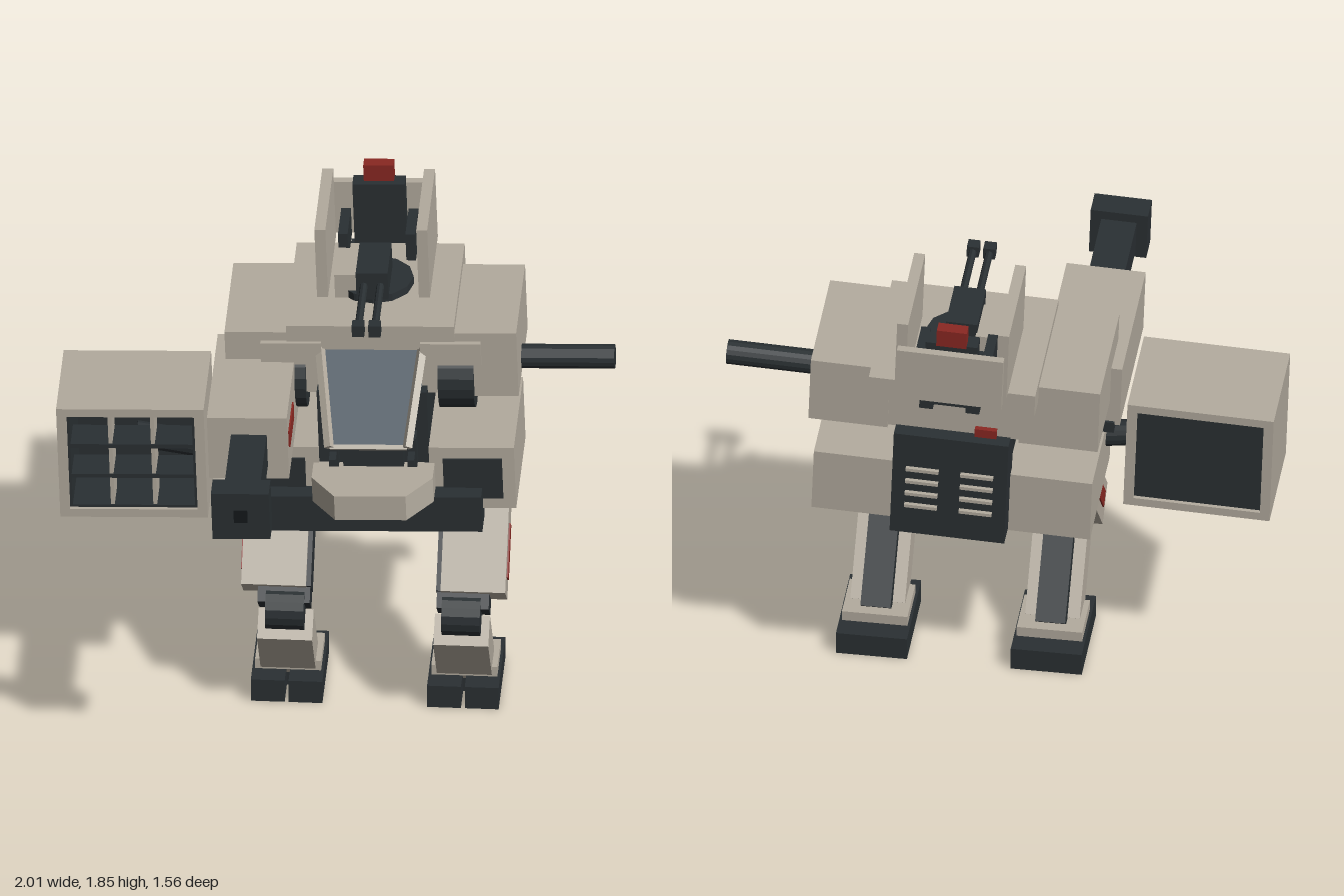
import * as THREE from 'three';
import { ConvexGeometry } from 'three/addons/geometries/ConvexGeometry.js';

const paint = (color) => new THREE.MeshStandardMaterial({ color, flatShading: true });
const LIGHT = paint(0xb3ab9e), DARK = paint(0x2a3033), RED = paint(0x8a2822), GLASS = paint(0x394955);

function add(parent, name, geometry, material) {
  const mesh = new THREE.Mesh(geometry, material);
  mesh.name = name;
  parent.add(mesh);
  return mesh;
}

// Box from its extents along x, y and z; side = -1 mirrors it in x
function box(parent, name, material, [x0, x1], [y0, y1], [z0, z1], side = 1) {
  const m = add(parent, name, new THREE.BoxGeometry(x1 - x0, y1 - y0, z1 - z0), material);
  m.position.set(side * (x0 + x1) / 2, (y0 + y1) / 2, (z0 + z1) / 2);
  return m;
}

// Cylinder or square beam between two points
function rod(parent, name, material, a, b, radius, sides = 16) {
  const p = new THREE.Vector3(...a), q = new THREE.Vector3(...b);
  const m = add(parent, name, new THREE.CylinderGeometry(radius, radius, p.distanceTo(q), sides), material);
  m.position.copy(p).add(q).multiplyScalar(0.5);
  m.quaternion.setFromUnitVectors(new THREE.Vector3(0, 1, 0), q.sub(p).normalize());
  return m;
}

// Box pitched about the x axis
function pitched(parent, name, material, [x, y, z], [w, h, d], angle) {
  const m = add(parent, name, new THREE.BoxGeometry(w, h, d), material);
  m.position.set(x, y, z);
  m.rotation.x = angle;
  return m;
}

function buildLeg(s) {
  const leg = new THREE.Group();
  leg.name = s > 0 ? 'leftLeg' : 'rightLeg';
  // Foot with two toes
  box(leg, 'heel', DARK, [0.19, 0.45], [0, 0.09], [-0.335, -0.1], s);
  box(leg, 'innerToe', DARK, [0.19, 0.313], [0, 0.09], [-0.1, 0.02], s);
  box(leg, 'outerToe', DARK, [0.327, 0.45], [0, 0.09], [-0.1, 0.02], s);
  box(leg, 'ankle', LIGHT, [0.2, 0.44], [0.09, 0.13], [-0.255, -0.06], s);
  // Shin
  pitched(leg, 'shinArmour', LIGHT, [s * 0.32, 0.235, -0.025], [0.2, 0.35, 0.12], 0.68);
  pitched(leg, 'shinStrut', DARK, [s * 0.32, 0.27, -0.1], [0.11, 0.36, 0.06], 0.7);
  // Knee and hip joints
  rod(leg, 'knee', DARK, [s * 0.25, 0.435, 0.075], [s * 0.39, 0.435, 0.075], 0.08, 16);
  rod(leg, 'hipJoint', DARK, [s * 0.22, 0.765, -0.2], [s * 0.42, 0.765, -0.2], 0.085, 8);
  // Thigh
  pitched(leg, 'thighCore', DARK, [s * 0.325, 0.6, -0.07], [0.19, 0.42, 0.13], -0.7);
  pitched(leg, 'thighArmour', LIGHT, [s * 0.362, 0.635, -0.07], [0.235, 0.36, 0.155], -0.7);
  pitched(leg, 'thighInnerPlate', DARK, [s * 0.24, 0.63, -0.08], [0.025, 0.36, 0.145], -0.7);
  pitched(leg, 'thighStripe', RED, [s * 0.48, 0.625, -0.058], [0.01, 0.2, 0.06], -0.7);
  return leg;
}

function buildTorso(body) {
  // Pelvis, waist and backpack
  box(body, 'pelvis', DARK, [-0.39, 0.39], [0.745, 0.89], [-0.44, 0.03]);
  const plan = new THREE.Shape([[-0.22, 0.05], [-0.22, -0.06], [-0.13, -0.19], [0.13, -0.19], [0.22, -0.06], [0.22, 0.05]]
    .map(([x, y]) => new THREE.Vector2(x, y)));
  const skirt = add(body, 'frontSkirt', new THREE.ExtrudeGeometry(plan, { depth: 0.1, bevelEnabled: false }), LIGHT);
  skirt.rotation.x = -Math.PI / 2;
  skirt.position.y = 0.89;
  box(body, 'waist', DARK, [-0.2, 0.2], [0.88, 1.28], [-0.3, -0.06]);
  box(body, 'waistFront', DARK, [-0.11, 0.11], [0.98, 1.18], [-0.06, -0.02]);
  box(body, 'waistBridge', DARK, [-0.15, 0.15], [0.86, 1.04], [-0.52, -0.28]);
  box(body, 'backpack', DARK, [-0.21, 0.21], [0.81, 1.255], [-0.635, -0.5]);
  box(body, 'backpackLight', RED, [-0.16, -0.08], [1.23, 1.29], [-0.6, -0.53]);
  for (const s of [-1, 1]) {
    for (let i = 0; i < 4; i++)
      box(body, 'vent', LIGHT, [0.04, 0.16], [0.935 + i * 0.055, 0.948 + i * 0.055], [-0.65, -0.63], s);
    box(body, 'spinePost', DARK, [0.08, 0.12], [1.0, 1.26], [-0.41, -0.37], s);
    box(body, 'postCap', RED, [0.075, 0.125], [1.24, 1.26], [-0.42, -0.365], s);
    box(body, 'smallGun', DARK, [0.125, 0.16], [1.0, 1.12], [-0.06, 0], s);
    box(body, 'smallGunBarrel', DARK, [0.13, 0.155], [1.04, 1.065], [0, 0.06], s);
    // Hip pods
    box(body, 'hipPod', LIGHT, [0.2, 0.51], [0.8, 1.055], [-0.54, -0.045], s);
    box(body, 'hipPodPanel', DARK, [0.25, 0.465], [0.845, 1.01], [-0.06, -0.038], s);
    // Shoulders
    box(body, 'shoulder', LIGHT, [0.24, 0.53], [1.24, 1.505], [-0.585, -0.105], s);
    box(body, 'shoulderPlate', LIGHT, [0.18, 0.4], [1.38, 1.47], [-0.11, -0.085], s);
    rod(body, 'shoulderJoint', DARK, [s * 0.24, 1.285, -0.2], [s * 0.37, 1.285, -0.2], 0.13, 20);
  }
  box(body, 'chest', LIGHT, [-0.25, 0.25], [1.25, 1.46], [-0.58, -0.11]);
  box(body, 'topSlab', LIGHT, [-0.305, 0.305], [1.44, 1.535], [-0.68, -0.1]);

  // Cockpit wedge and its frame
  const corners = [];
  for (const s of [-1, 1])
    for (const [x, y, z] of [[0.18, 1.43, -0.11], [0.135, 1.19, 0.16], [0.135, 1.175, 0.15], [0.18, 1.25, -0.11]])
      corners.push(new THREE.Vector3(s * x, y, z));
  add(body, 'cockpitGlass', new ConvexGeometry(corners), GLASS);
  for (const s of [-1, 1])
    rod(body, 'cockpitFrame', LIGHT, [s * 0.185, 1.435, -0.11], [s * 0.142, 1.185, 0.17], 0.019, 4);
  rod(body, 'cockpitSill', LIGHT, [-0.14, 1.18, 0.16], [0.14, 1.18, 0.16], 0.012, 4);
}

function buildWeapons(body) {
  // Right arm cannon
  box(body, 'armHousing', LIGHT, [-0.57, -0.28], [1.135, 1.39], [-0.28, 0.305]);
  box(body, 'armStripe', RED, [-0.28, -0.274], [1.245, 1.31], [0.06, 0.265]);
  box(body, 'armUnderside', DARK, [-0.55, -0.29], [1.105, 1.15], [-0.29, 0.14]);
  box(body, 'cannonBarrel', DARK, [-0.485, -0.355], [1.19, 1.32], [0.3, 0.68]);
  box(body, 'cannonMuzzle', DARK, [-0.525, -0.315], [1.165, 1.355], [0.675, 0.775]);
  box(body, 'cannonBore', paint(0x14181a), [-0.445, -0.395], [1.235, 1.285], [0.77, 0.778]);
  // Left shoulder side barrel
  rod(body, 'sideBarrel', DARK, [0.5, 1.285, -0.31], [0.868, 1.285, -0.31], 0.045);

  // Missile pod: open-fronted shell with a three by three grid
  const pod = new THREE.Group();
  pod.name = 'missilePod';
  pod.position.set(-0.87, 1.052, 0);
  body.add(pod);
  const rect = (T, w, h) => new T([[-w, -h], [w, -h], [w, h], [-w, h]].map(([x, y]) => new THREE.Vector2(x, y)));
  const outline = rect(THREE.Shape, 0.268, 0.228);
  outline.holes.push(rect(THREE.Path, 0.232, 0.195));
  const shell = add(pod, 'podShell', new THREE.ExtrudeGeometry(outline, { depth: 0.41, bevelEnabled: false }), LIGHT);
  shell.position.z = -0.34;
  box(pod, 'podBackPanel', DARK, [-0.235, 0.235], [-0.2, 0.2], [-0.325, -0.29]);
  for (const s of [-1, 1]) {
    box(pod, 'podSideLining', DARK, [0.222, 0.234], [-0.195, 0.195], [-0.29, 0.055], s);
    box(pod, 'podLining', DARK, [-0.232, 0.232], s > 0 ? [0.185, 0.197] : [-0.197, -0.185], [-0.29, 0.055]);
    box(pod, 'podDivider', LIGHT, [0.07, 0.084], [-0.19, 0.19], [-0.08, 0.05], s);
    box(pod, 'podShelf', DARK, [-0.225, 0.225], [s * 0.063 - 0.008, s * 0.063 + 0.008], [-0.08, 0.055]);
  }
  rod(body, 'podMount', DARK, [-0.87, 1.052, -0.14], [-0.46, 0.975, -0.14], 0.048);
}

function buildTurret(body) {
  const turret = new THREE.Group();
  turret.name = 'turret';
  body.add(turret);
  rod(turret, 'turretRing', DARK, [0, 1.53, -0.4], [0, 1.565, -0.4], 0.14, 12);
  box(turret, 'sensorBox', LIGHT, [-0.14, -0.055], [1.53, 1.63], [-0.49, -0.3]);
  // Twin gun
  box(turret, 'gunBody', DARK, [-0.058, 0.058], [1.555, 1.665], [-0.47, -0.255]);
  for (const x of [-0.03, 0.03]) {
    rod(turret, 'gunBarrel', DARK, [x, 1.612, -0.26], [x, 1.612, 0.03], 0.014, 8);
    box(turret, 'gunMuzzle', DARK, [x - 0.022, x + 0.022], [1.59, 1.635], [0.02, 0.065]);
  }
  // Shield plates with inner struts
  for (const s of [-1, 1]) {
    box(turret, 'sideShield', LIGHT, [0.165, 0.205], [1.54, 1.825], [-0.72, -0.295], s);
    box(turret, 'shieldStrut', DARK, [0.105, 0.14], [1.56, 1.67], [-0.7, -0.52], s);
    box(turret, 'lowerBracket', DARK, [0.06, 0.11], [1.465, 1.52], [-0.735, -0.67], s);
  }
  box(turret, 'rearShield', LIGHT, [-0.195, 0.195], [1.535, 1.75], [-0.78, -0.75]);
  box(turret, 'rearColumn', DARK, [-0.095, 0.095], [1.5, 1.78], [-0.75, -0.685]);
  box(turret, 'beacon', RED, [-0.055, 0.055], [1.775, 1.845], [-0.758, -0.71]);
}

export function createModel() {
  const model = new THREE.Group();
  model.name = 'walker';

  const legs = new THREE.Group();
  legs.name = 'legs';
  legs.position.x = 0.15;
  legs.add(buildLeg(1), buildLeg(-1));

  // The whole upper body leans slightly to its right
  const lean = new THREE.Group();
  lean.name = 'upperBody';
  lean.position.set(0.15, 0.8, 0);
  lean.rotation.z = 0.035;
  const body = new THREE.Group();
  body.name = 'body';
  body.position.y = -0.8;
  lean.add(body);
  buildTorso(body);
  buildWeapons(body);
  buildTurret(body);

  model.add(legs, lean);
  return model;
}
